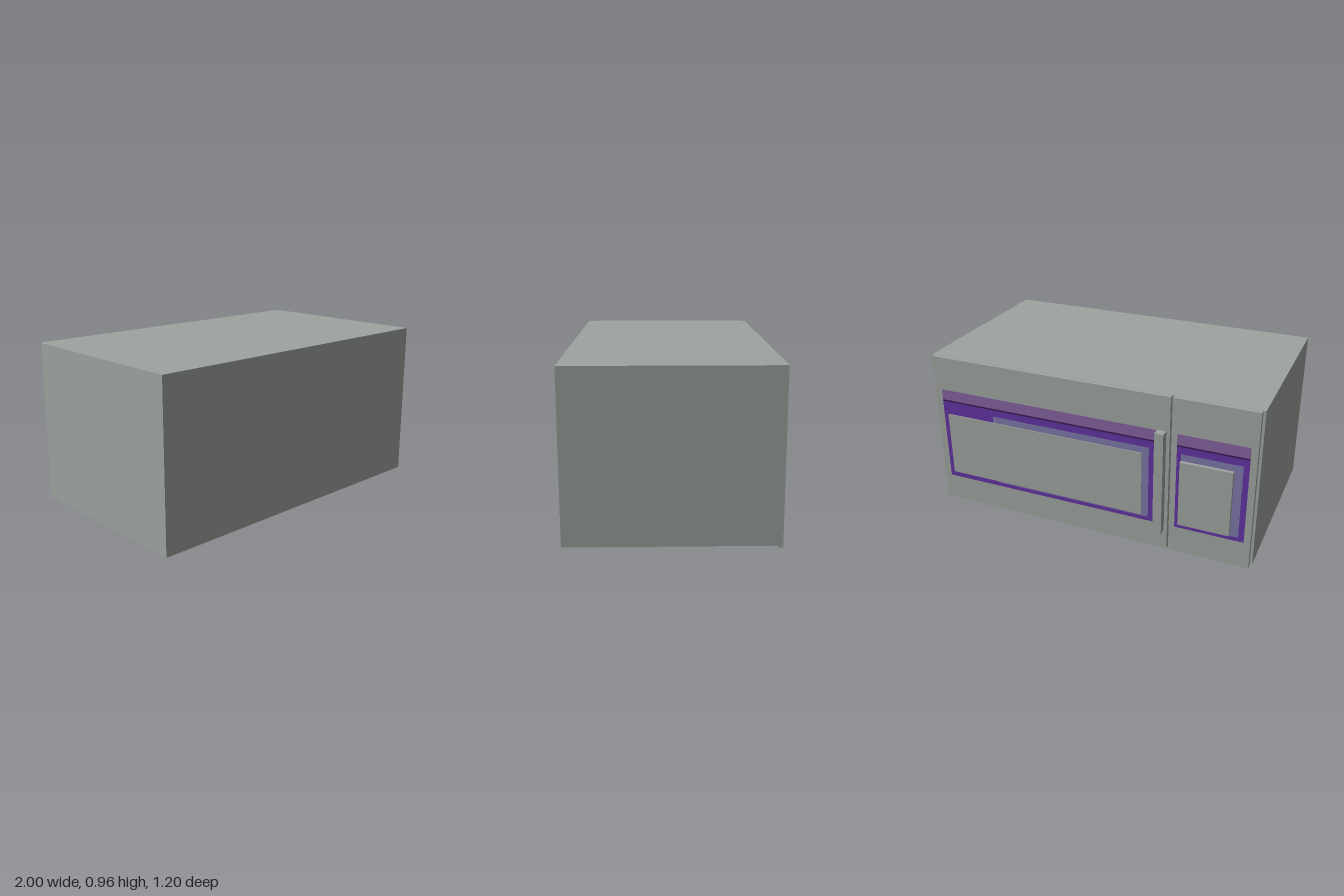
import * as THREE from 'three';

const mat = (name, color) => {
  const m = new THREE.MeshStandardMaterial({ color });
  m.name = name;
  return m;
};

export function createModel() {
  const model = new THREE.Group();
  model.name = 'microwave';

  const grey = mat('casing grey', 0x9fa49f);
  const purple = mat('purple', 0x6234a0);
  const muted = mat('muted purple', 0x82619f);
  const slate = mat('slate blue', 0x7c76a8);
  const dark = mat('dark plum', 0x3a1a52);

  // Box given by its limits on each axis
  const box = (name, material, [x0, x1], [y0, y1], [z0, z1], parent = model) => {
    const mesh = new THREE.Mesh(new THREE.BoxGeometry(x1 - x0, y1 - y0, z1 - z0), material);
    mesh.position.set((x0 + x1) / 2, (y0 + y1) / 2, (z0 + z1) / 2);
    mesh.name = name;
    parent.add(mesh);
  };

  // Casing, door and control panel; the door side faces -z
  const face = -0.555;
  box('casing', grey, [-1, 1], [0.015, 0.965], [-0.527, 0.6]);
  box('door', grey, [-0.502, 0.988], [0, 0.964], [face, -0.527]);
  box('controlPanel', grey, [-0.985, -0.515], [0, 0.964], [face, -0.527]);

  // Painted surround: a thin stack of coloured plates
  const surround = (name, x0, x1, inner0, inner1) => {
    const group = new THREE.Group();
    group.name = name;
    const plate = (n, m, xs, ys, t) => box(n, m, xs, ys, [face - t, face], group);
    plate('surroundBase', purple, [x0, x1], [0.165, 0.69], 0.0015);
    plate('surroundTopBand', muted, [x0, x1], [0.69, 0.757], 0.0015);
    plate('surroundLine', dark, [x0, x1], [0.683, 0.692], 0.0025);
    plate('surroundInner', slate, [inner0, inner1], [0.19, 0.64], 0.0025);
    model.add(group);
  };
  surround('windowSurround', -0.425, 0.943, -0.385, 0.6);
  surround('keypadSurround', -0.947, -0.545, -0.915, -0.57);

  // Raised window, keypad and handle
  box('window', grey, [-0.345, 0.912], [0.2, 0.6], [-0.563, face]);
  box('keypad', grey, [-0.867, -0.57], [0.2, 0.6], [-0.579, face]);
  box('handle', grey, [-0.482, -0.43], [0.125, 0.76], [-0.603, face]);

  return model;
}
